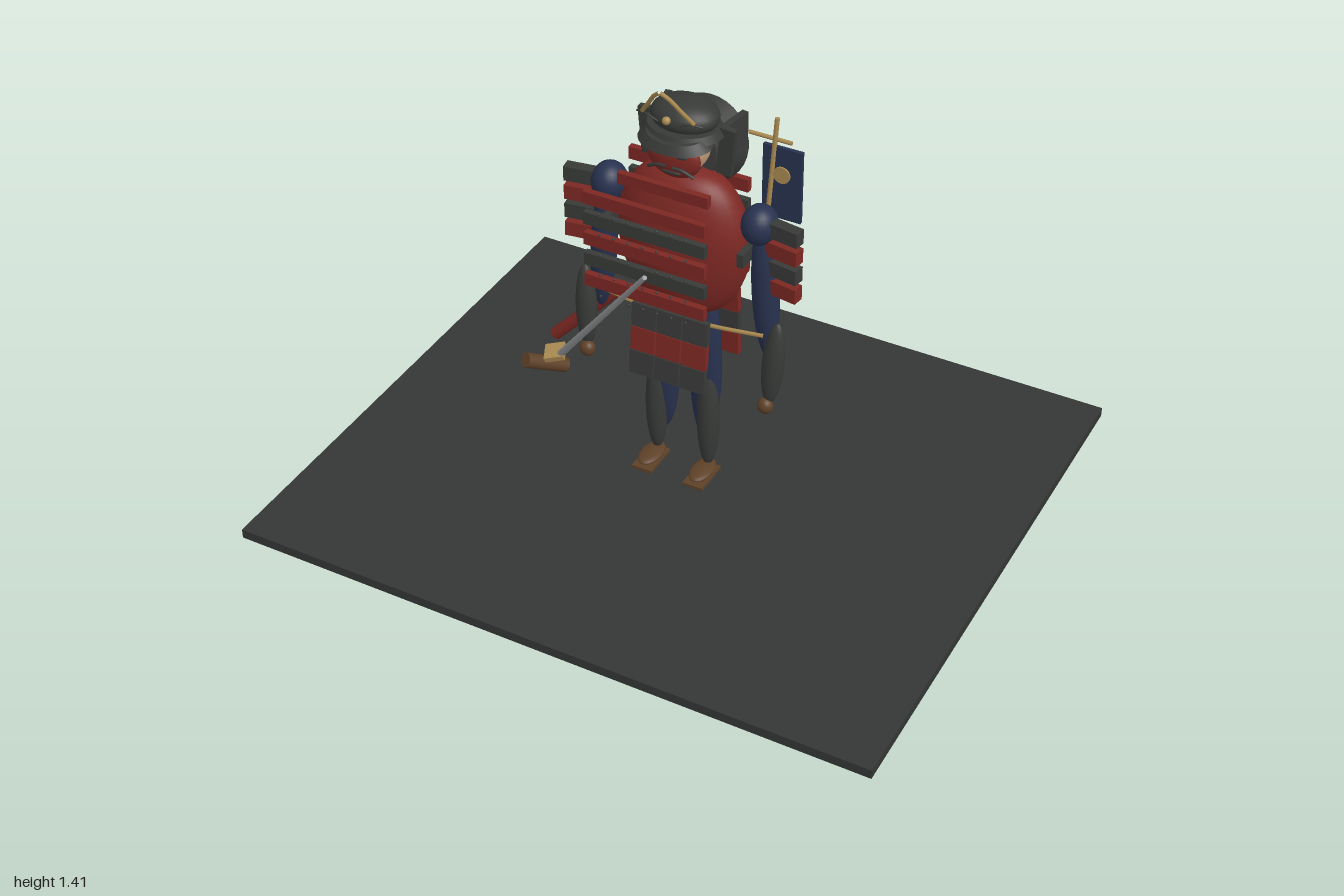
import * as THREE from 'three';

const material = (color) => new THREE.MeshStandardMaterial({ color });
const dark = material(0x383a38), red = material(0x7d2823), blue = material(0x28324f);
const gold = material(0xa98a50), brown = material(0x5e4128), steel = material(0x96989b);
const skin = material(0xc4a07c), ground = material(0x343736);
const V = (p) => new THREE.Vector3(...p);

export function createModel() {
  const model = new THREE.Group();
  const add = (name, geometry, mat, pos = [0, 0, 0], rot = [0, 0, 0]) => {
    const mesh = new THREE.Mesh(geometry, mat);
    mesh.name = name;
    mesh.position.set(...pos);
    mesh.rotation.set(...rot);
    model.add(mesh);
    return mesh;
  };
  const box = (name, mat, size, pos, rot) => add(name, new THREE.BoxGeometry(...size), mat, pos, rot);
  const ball = (name, mat, radii, pos, rot) => {
    const g = new THREE.SphereGeometry(1, 24, 16);
    g.scale(...radii);
    return add(name, g, mat, pos, rot);
  };
  // Round bar between two points
  const bar = (name, mat, a, b, r0, r1 = r0) => {
    const from = V(a), to = V(b), dir = to.clone().sub(from);
    const mesh = add(name, new THREE.CylinderGeometry(r1, r0, dir.length(), 14), mat);
    mesh.position.copy(from).add(to).multiplyScalar(0.5);
    mesh.quaternion.setFromUnitVectors(new THREE.Vector3(0, 1, 0), dir.normalize());
    return mesh;
  };
  const tube = (name, mat, points, r) =>
    add(name, new THREE.TubeGeometry(new THREE.CatmullRomCurve3(points.map(V)), 24, r, 8), mat);

  box('base', ground, [2, 0.03, 1.71], [0, 0.015, 0]);

  // Torso and neck
  const profile = [[0, 0.645], [0.09, 0.65], [0.15, 0.7], [0.19, 0.79], [0.202, 0.89],
    [0.19, 0.97], [0.15, 1.05], [0.09, 1.095], [0, 1.11]].map((p) => new THREE.Vector2(...p));
  const torso = add('torso', new THREE.LatheGeometry(new THREE.SplineCurve(profile).getPoints(28), 32), red);
  torso.scale.z = 0.56;
  torso.position.z = 0.008;
  bar('neck', blue, [0, 1.05, 0.01], [0, 1.14, 0.01], 0.055, 0.045);

  // Armour plates, front and back
  [1, 0.932, 0.864, 0.796, 0.724].forEach((y, i) => {
    const mat = i % 2 ? dark : red;
    box('frontPlate', mat, [0.38, 0.04, 0.02], [-0.058, y, 0.132]);
    box('backPlate', mat, [0.38, 0.04, 0.02], [-0.058, y, -0.13]);
    for (let k = 0; k < 7; k++) ball('lacing', dark, [0.004, 0.004, 0.004], [-0.19 + k * 0.045, y - 0.034, 0.152]);
  });
  box('collarPlate', red, [0.28, 0.035, 0.02], [-0.02, 1.065, 0.09]);

  // Skirt panels
  for (let row = 0; row < 3; row++) {
    for (const x of [-0.082, 0, 0.082]) {
      const y = 0.62 - row * 0.077;
      box('frontSkirtPanel', row % 2 ? red : dark, [0.077, 0.077, 0.02], [x, y, 0.09 + row * 0.009], [-0.08, 0, 0]);
      box('backSkirtPanel', row % 2 ? dark : red, [0.077, 0.077, 0.02], [x, y, -0.1 - row * 0.003], [0.05, 0, 0]);
    }
  }
  tube('waistCord', gold, [[-0.28, 0.657, 0.065], [-0.13, 0.645, 0.075], [0, 0.642, 0.08],
    [0.13, 0.645, 0.075], [0.28, 0.657, 0.065]], 0.006);

  // Legs and arms
  for (const s of [-1, 1]) {
    ball('thigh', blue, [0.05, 0.28, 0.037], [s * 0.067, 0.45, 0.003]);
    ball('shin', dark, [0.034, 0.175, 0.032], [s * 0.085, 0.265, 0.02]);
    ball('foot', brown, [0.034, 0.013, 0.06], [s * 0.085, 0.093, 0.055]);
    box('sandal', brown, [0.065, 0.01, 0.12], [s * 0.085, 0.075, 0.06]);

    ball('shoulder', blue, [0.052, 0.06, 0.057], [s * 0.235, 0.985, 0.012]);
    ball('upperArm', blue, [0.04, 0.23, 0.037], [s * 0.257, 0.775, 0.012], [0, 0, s * 0.06]);
    ball('forearm', dark, [0.033, 0.135, 0.027], [s * 0.302, 0.555, 0.045], [-0.08, 0, s * -0.05]);
    ball('hand', brown, [0.024, 0.025, 0.022], [s * 0.29, 0.417, 0.066]);
    [0.99, 0.928, 0.867, 0.805].forEach((y, i) =>
      box('shoulderPlate', i % 2 ? red : dark, [0.13, 0.046, 0.035], [s * 0.302, y, 0.022], [0, s * -0.15, 0]));
  }
  for (const x of [-0.21, 0.21]) box('sidePlate', dark, [0.02, 0.042, 0.14], [x, 0.895, 0.01]);

  // Head and mask
  ball('head', skin, [0.075, 0.085, 0.062], [0, 1.175, 0.005]);
  ball('mask', red, [0.08, 0.06, 0.028], [0, 1.16, 0.065]);
  for (const s of [-1, 1]) {
    ball('eyeSlit', dark, [0.02, 0.005, 0.006], [s * 0.034, 1.18, 0.087], [0, 0, s * 0.15]);
    tube('whisker', dark, [[s * 0.01, 1.145, 0.094], [s * 0.04, 1.142, 0.092], [s * 0.07, 1.125, 0.085]], 0.005);
  }
  ball('mouth', dark, [0.03, 0.007, 0.006], [0, 1.125, 0.086]);

  // Helmet
  ball('helmetBowl', dark, [0.1, 0.05, 0.08], [0, 1.266, 0.003]);
  const brim = add('helmetBrim', new THREE.CylinderGeometry(0.105, 0.118, 0.022, 32), dark, [0, 1.235, 0.01]);
  brim.scale.z = 0.85;
  const visor = add('visor', new THREE.CylinderGeometry(0.085, 0.11, 0.025, 32), dark, [0, 1.226, 0.06], [0.12, 0, 0]);
  visor.scale.z = 0.68;
  add('neckGuard', new THREE.CylinderGeometry(0.085, 0.13, 0.11, 32), dark, [0, 1.13, -0.07], [Math.PI / 2 - 0.17, 0, 0]);
  for (const s of [-1, 1]) {
    box('cheekGuard', dark, [0.045, 0.145, 0.02], [s * 0.121, 1.175, -0.01], [0, 0, s * -0.08]);
    box('sideFlap', dark, [0.02, 0.1, 0.11], [s * 0.11, 1.19, -0.07], [0, s * -0.15, 0]);
    tube('crestHorn', gold, [[s * 0.078, 1.305, 0.1], [s * 0.05, 1.345, 0.118],
      [s * 0.022, 1.385, 0.135], [0, 1.405, 0.145]], 0.006);
    tube('helmetCord', dark, [[s * 0.03, 1.285, 0.1], [s * 0.07, 1.3, 0.1], [s * 0.1, 1.295, 0.09]], 0.003);
  }
  ball('crestKnob', gold, [0.012, 0.012, 0.012], [0, 1.3, 0.11]);

  // Banner on the back
  box('banner', blue, [0.12, 0.23, 0.012], [0.225, 1.025, -0.147]);
  const disc = add('bannerDisc', new THREE.CylinderGeometry(0.026, 0.026, 0.006, 24), gold, [0.225, 1.055, -0.139], [Math.PI / 2, 0, 0]);
  disc.scale.set(1, 1, 1);
  bar('bannerPole', gold, [0.165, 0.56, -0.125], [0.205, 1.23, -0.145], 0.007);
  bar('bannerCrossbar', gold, [0.12, 1.163, -0.145], [0.25, 1.16, -0.148], 0.006);

  // Sword and scabbard
  bar('blade', steel, [-0.36, 0.395, 0.11], [0.035, 0.92, 0.3], 0.011, 0.007);
  box('swordGuard', gold, [0.06, 0.018, 0.055], [-0.375, 0.4, 0.11], [0.3, 0.4, 0.15]);
  bar('swordHandle', brown, [-0.46, 0.36, 0.14], [-0.39, 0.295, 0.03], 0.023);
  bar('scabbard', red, [-0.485, 0.31, -0.075], [-0.25, 0.555, -0.09], 0.02, 0.017);

  return model;
}
